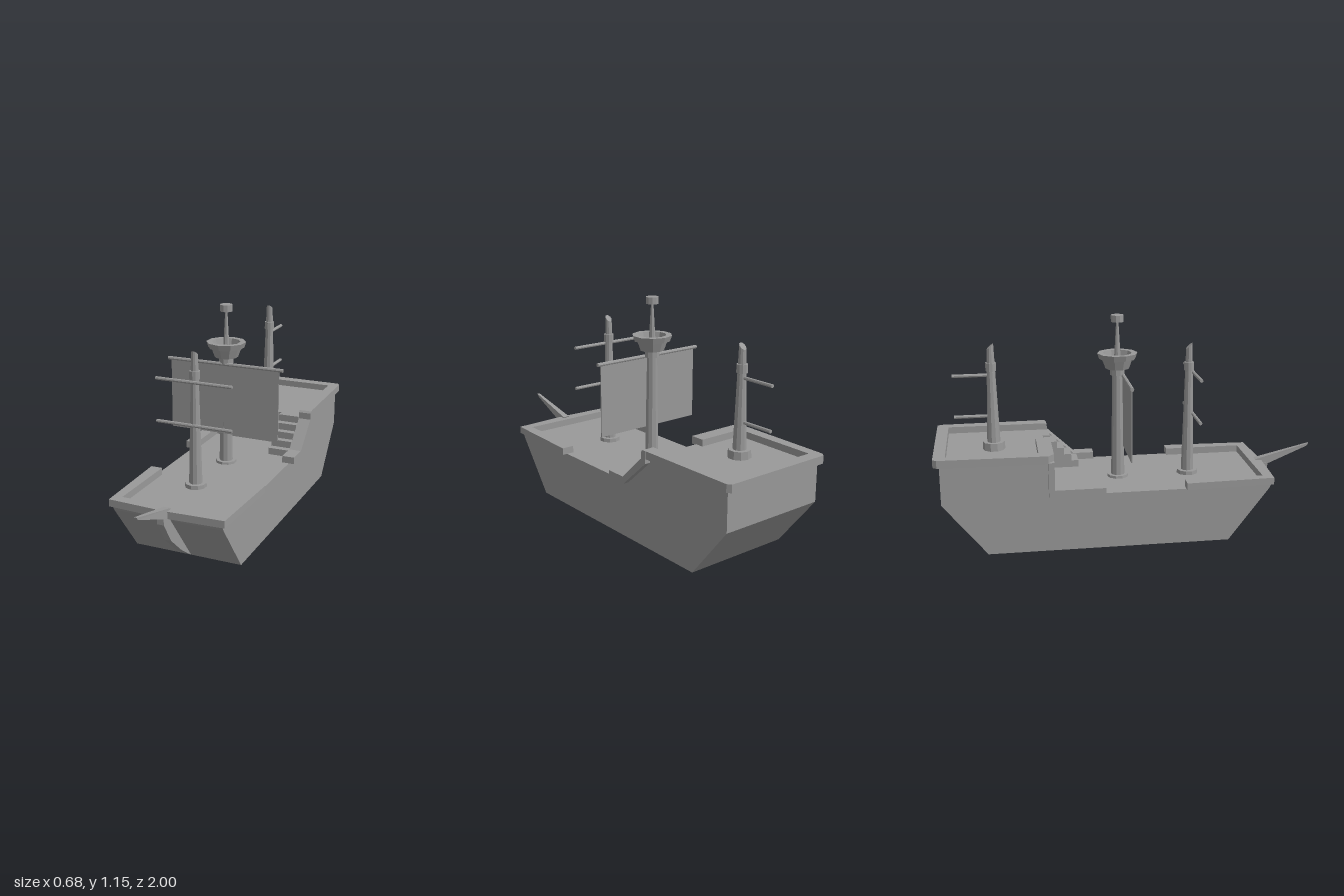
import * as THREE from 'three';

export function createModel() {
  const ship = new THREE.Group();
  ship.name = 'sailingShip';
  const grey = new THREE.MeshStandardMaterial({ color: 0x999999, flatShading: true, side: THREE.DoubleSide });
  grey.name = 'plain grey';

  const add = (name, geo, x = 0, y = 0, z = 0) => {
    const mesh = new THREE.Mesh(geo, grey);
    mesh.name = name;
    mesh.position.set(x, y, z);
    ship.add(mesh);
    return mesh;
  };
  const shapeOf = (pts) => new THREE.Shape(pts.map(([a, b]) => new THREE.Vector2(a, b)));
  // Side profile of [z, y] points, solid between x0 and x1
  const side = (name, pts, x0, x1) => add(name,
    new THREE.ExtrudeGeometry(shapeOf(pts), { depth: x1 - x0, bevelEnabled: false }).rotateY(-Math.PI / 2), x1);
  // Plan outline of [x, z] points, solid between y0 and y1
  const plan = (name, pts, y0, y1) => add(name,
    new THREE.ExtrudeGeometry(shapeOf(pts.map(([x, z]) => [x, -z])), { depth: y1 - y0, bevelEnabled: false })
      .rotateX(-Math.PI / 2), 0, y0);
  // Upright round part from y0 to y1
  const post = (name, r0, r1, y0, y1, x, z, sides = 10) =>
    add(name, new THREE.CylinderGeometry(r1, r0, y1 - y0, sides), x, (y0 + y1) / 2, z);

  // Hull, with its raised stern deck
  side('hull', [[0.49, 0], [0.70, 0.275], [0.71, 0.295], [-0.44, 0.295], [-0.44, 0.48],
    [-0.97, 0.48], [-0.97, 0.275], [-0.75, 0]], -0.27, 0.305);
  side('hullSlope', [[-0.26, 0.295], [-0.44, 0.47], [-0.44, 0.295]], 0.27, 0.305);
  side('stem', [[0.49, 0], [0.59, 0.07], [0.70, 0.17], [0.77, 0.28], [0.77, 0.315], [0.70, 0.325]], 0, 0.035);

  // Bowsprit, narrowing to its tip
  const sprit = side('bowsprit', [[0.70, 0.34], [0.74, 0.30], [0.99, 0.40], [1.0, 0.415]], 0, 0.036);
  const sp = sprit.geometry.attributes.position;
  for (let i = 0; i < sp.count; i++) {
    if (sp.getZ(i) > 0.9) sp.setX(i, -0.018 + (sp.getX(i) + 0.018) * 0.4);
  }

  // Rails
  plan('bowRail', [[0.337, 0.26], [0.32, 0.72], [0.018, 0.735], [-0.285, 0.72], [-0.302, 0.26],
    [-0.24, 0.26], [-0.24, 0.67], [0.27, 0.67], [0.27, 0.26]], 0.298, 0.335);
  plan('sternRail', [[0.27, -0.44], [0.335, -0.44], [0.325, -0.98], [0.31, -1], [-0.275, -1], [-0.29, -0.98],
    [-0.30, -0.44], [-0.27, -0.41], [0.015, -0.41], [0.015, -0.485], [-0.24, -0.485], [-0.24, -0.94],
    [0.27, -0.94]], 0.475, 0.515);
  side('stairRail', [[-0.155, 0.298], [-0.155, 0.335], [-0.265, 0.335], [-0.41, 0.47], [-0.41, 0.505],
    [-0.42, 0.515], [-0.44, 0.515], [-0.44, 0.45], [-0.27, 0.298]], 0.27, 0.337);
  side('steppedRail', [[-0.155, 0.298], [-0.155, 0.335], [-0.41, 0.335], [-0.41, 0.48], [-0.44, 0.48],
    [-0.44, 0.298]], -0.304, -0.24);

  // Stairs to the stern deck
  const steps = 5, rise = 0.185 / steps, tread = 0.19 / steps;
  for (let i = 0; i < steps; i++) {
    const front = -0.25 - i * tread, h = rise * (i + 1);
    add('stair', new THREE.BoxGeometry(0.115, h, front + 0.445), 0.2125, 0.295 + h / 2, (front - 0.445) / 2);
  }

  // Masts whose tops are cut at a slant
  const slantedMast = (name, x, z, deck, collar, top) => {
    post(name + 'Foot', 0.058, 0.055, deck - 0.01, deck + 0.037, x, z);
    const mast = post(name, 0.035, 0.017, deck, top - 0.015, x, z);
    const p = mast.geometry.attributes.position;
    for (let i = 0; i < p.count; i++) {
      if (p.getY(i) > 0) p.setY(i, p.getY(i) + p.getZ(i) * 0.9);
    }
    post(name + 'Collar', 0.027, 0.027, collar, collar + 0.042, x, z);
  };
  slantedMast('foreMast', -0.018, 0.318, 0.278, 0.857, 1.0);
  slantedMast('sternMast', -0.026, -0.70, 0.483, 0.89, 1.03);

  // Main mast with lookout basket and capped pole
  const mx = -0.016, mz = -0.057;
  post('mainMastFoot', 0.058, 0.055, 0.28, 0.308, mx, mz);
  post('mainMast', 0.036, 0.026, 0.29, 0.9, mx, mz);
  post('mainMastCollar', 0.038, 0.038, 0.845, 0.897, mx, mz);
  const basket = [[0, 0.88], [0.062, 0.88], [0.08, 0.93], [0.094, 0.93], [0.104, 0.96],
    [0.074, 0.96], [0.06, 0.9], [0, 0.9]];
  add('lookoutBasket', new THREE.LatheGeometry(basket.map(([r, y]) => new THREE.Vector2(r, y)), 10), mx, 0, mz);
  post('topPole', 0.019, 0.006, 0.9, 1.125, mx, mz, 8);
  post('topCap', 0.033, 0.033, 1.12, 1.155, mx, mz);

  // Yards
  const yard = (name, length, r, x, y, z, along) => {
    const geo = new THREE.CylinderGeometry(r, r, length, 8);
    add(name, along === 'x' ? geo.rotateZ(Math.PI / 2) : geo.rotateX(Math.PI / 2), x, y, z);
  };
  for (const y of [0.623, 0.845]) yard('foreYard', 0.41, 0.009, -0.015, y, 0.34, 'x');
  for (const y of [0.655, 0.868]) yard('sternYard', 0.19, 0.009, -0.026, y, -0.80, 'z');
  yard('mainYard', 0.65, 0.01, -0.015, 0.845, -0.03, 'x');

  // Main sail
  add('mainSail', new THREE.BoxGeometry(0.61, 0.38, 0.006), -0.015, 0.655, -0.028);

  return ship;
}
